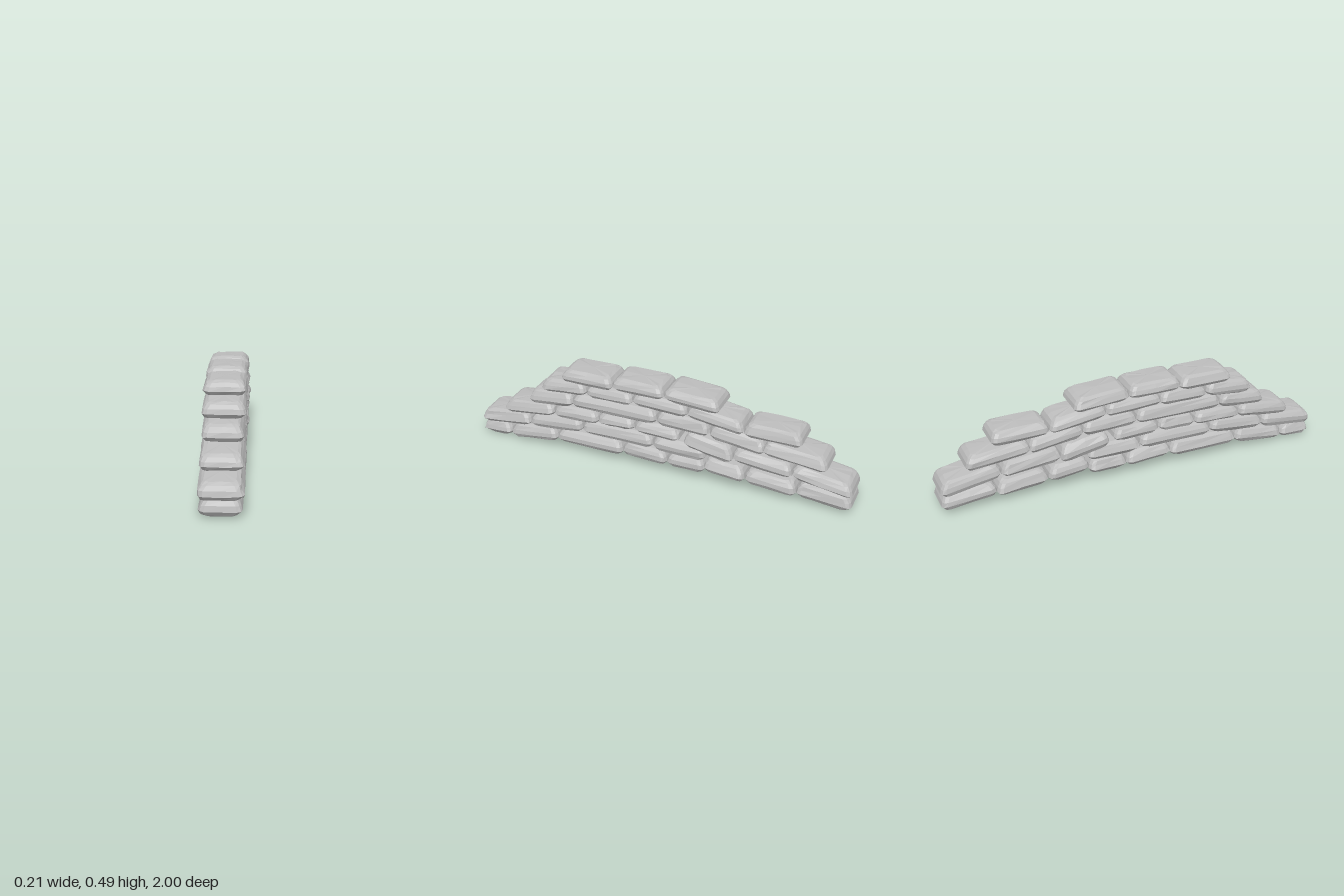
import * as THREE from 'three';

const stone = new THREE.MeshStandardMaterial({ color: 0xbcbcbc });
stone.name = 'sandbag grey';

// Runs of touching bags, laid from front to back.
// Each bag: length, centre height, rise of the front end over the back end
const runs = [
  { name: 'course1', front: 1, thickness: .085, bags: [[.17, .045, -.006], [.275, .065, -.03],
    [.37, .084, 0], [.24, .087, .017], [.2, .085, 0], [.21, .097, .023], [.26, .077, .023], [.275, .067, .025]] },
  { name: 'course2Front', front: 1, thickness: .083, bags: [[.29, .122, -.033], [.3, .154, -.027],
    [.39, .165, 0], [.28, .16, .004]] },
  { name: 'course2Back', front: -.4, thickness: .08, bags: [[.3, .183, .031], [.3, .152, .053]] },
  { name: 'course3Front', front: .86, thickness: .076, bags: [[.29, .208, -.035], [.25, .228, -.005],
    [.2, .238, -.005], [.24, .233, .009]] },
  { name: 'course3Middle', front: -.145, thickness: .095, bags: [[.255, .202, .047]] },
  { name: 'course3Back', front: -.55, thickness: .08, bags: [[.32, .255, .035]] },
  { name: 'course4', front: .71, thickness: .085, bags: [[.25, .293, -.025], [.46, .31, 0],
    [.28, .307, .01], [.28, .284, .037]] },
  { name: 'course5', front: .63, thickness: .078, bags: [[.25, .375, -.02], [.25, .38, 0],
    [.29, .384, .012], [.29, .365, .04], [.29, .346, .005]] },
  { name: 'course6', front: .515, thickness: .074, bags: [[.28, .443, 0], [.275, .452, .003], [.285, .444, .023]] },
];

// Height fraction and inset of the stacked outlines that make one bag
const levels = [[-.47, .032], [-.36, .014], [-.14, 0], [.12, .006], [.34, .018], [.46, .036]];

let seed = 7;
const jitter = (amount) => {
  seed = (seed * 16807) % 2147483647;
  return (seed / 2147483647 * 2 - 1) * amount;
};

// Rectangle with cut corners and a point on the middle of every side
function outline(w, l, c) {
  const side = [[w, 0], [w, l - c], [w - c * .3, l - c * .3], [w - c, l]];
  const mirrored = side.map(([x, z]) => [-x, z]).reverse();
  const half = [...side, [0, l], ...mirrored];
  return [...half, ...side.slice(1).map(([x, z]) => [-x, -z]), [0, -l],
    ...side.slice(1).map(([x, z]) => [x, -z]).reverse()];
}

function bagGeometry(length, height, centreY, centreZ, rise) {
  const width = .097 + jitter(.004);
  const positions = [];
  const indices = [];
  const add = (x, y, z) => {
    positions.push(x, Math.max(0, centreY + rise * z / length + y), centreZ + z);
  };
  let n = 0;
  levels.forEach(([t, inset]) => {
    const ring = outline(width - inset * .85, length / 2 - inset, .024);
    n = ring.length;
    const lean = jitter(.003);
    ring.forEach(([x, z]) => {
      const dome = t * height * (1 + .08 * (1 - Math.abs(x) / width));
      add(x + lean + jitter(.002), dome + jitter(.0025), z);
    });
  });
  for (let r = 0; r < levels.length - 1; r++) {
    for (let i = 0; i < n; i++) {
      const a = r * n + i, b = r * n + (i + 1) % n;
      indices.push(a, a + n, b, b, a + n, b + n);
    }
  }
  // Domed top and bottom caps
  const bottom = levels.length * n, top = bottom + 1, last = bottom - n;
  add(0, -height * .51, 0);
  add(0, height * .51, 0);
  for (let i = 0; i < n; i++) {
    const j = (i + 1) % n;
    indices.push(bottom, i, j, top, last + j, last + i);
  }
  const indexed = new THREE.BufferGeometry();
  indexed.setAttribute('position', new THREE.Float32BufferAttribute(positions, 3));
  indexed.setIndex(indices);
  // Unshared corners keep every facet flat
  const faceted = indexed.toNonIndexed();
  faceted.computeVertexNormals();
  return faceted;
}

export function createModel() {
  const wall = new THREE.Group();
  wall.name = 'sandbagWall';
  runs.forEach(({ name, front, thickness, bags }) => {
    const course = new THREE.Group();
    course.name = name;
    let z = front;
    bags.forEach(([length, y, rise], i) => {
      const mesh = new THREE.Mesh(bagGeometry(length, thickness, y, z - length / 2, rise), stone);
      mesh.name = `${name}Sandbag${i + 1}`;
      course.add(mesh);
      z -= length;
    });
    wall.add(course);
  });
  return wall;
}
